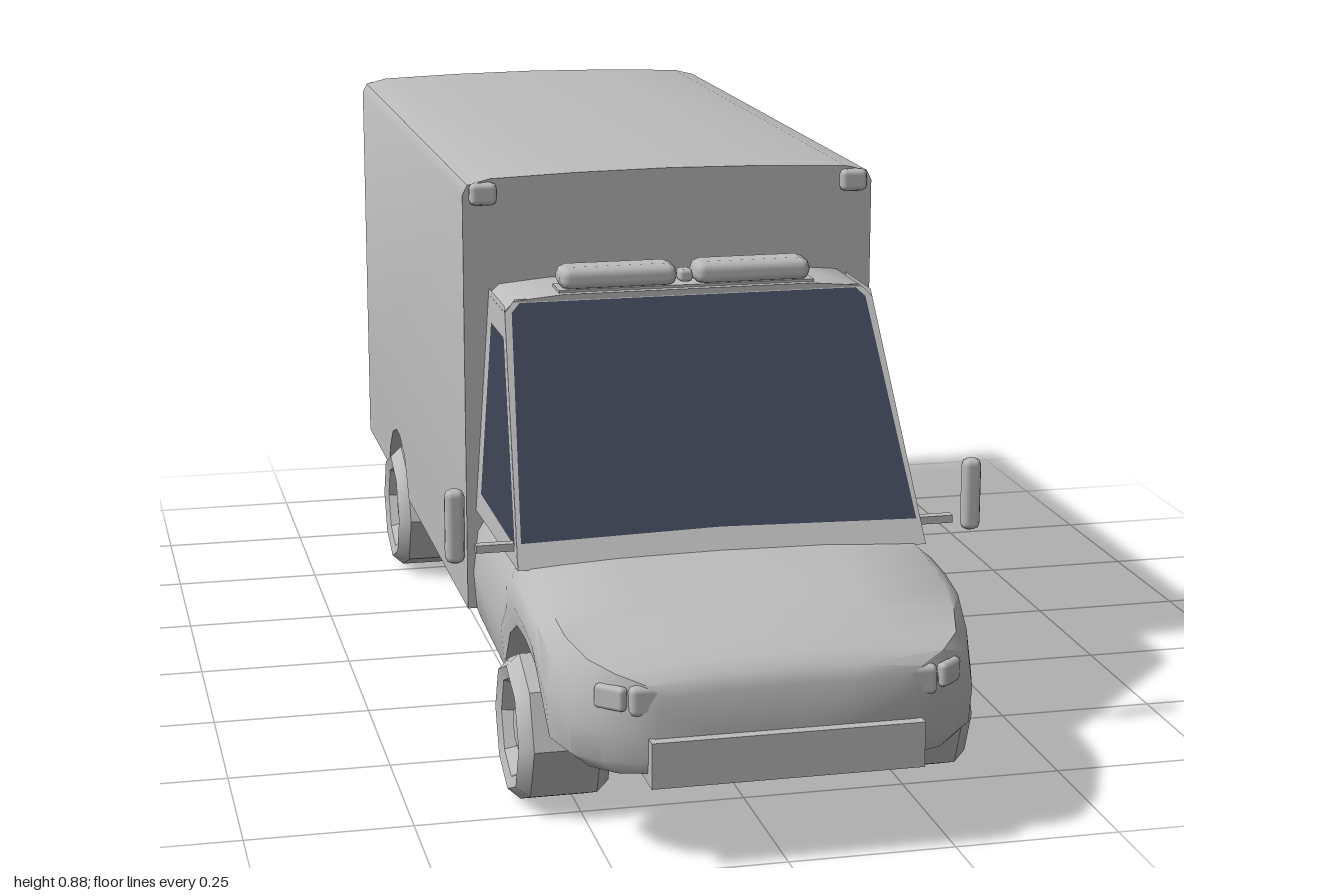
import * as THREE from 'three';
import { toCreasedNormals } from 'three/addons/utils/BufferGeometryUtils.js';
import { RoundedBoxGeometry } from 'three/addons/geometries/RoundedBoxGeometry.js';

export function createModel() {
  const root = new THREE.Group();
  root.name = 'boxVan';
  const paint = new THREE.MeshStandardMaterial({ color: 0xbcbcbc, side: THREE.DoubleSide });
  paint.name = 'grey body';
  const glass = new THREE.MeshStandardMaterial({ color: 0x3d4454, side: THREE.DoubleSide });
  glass.name = 'dark glass';

  const add = (name, geo, mat = paint, x = 0, y = 0, z = 0) => {
    const m = new THREE.Mesh(geo, mat);
    m.name = name;
    m.position.set(x, y, z);
    root.add(m);
    return m;
  };
  const vecs = pts => pts.map(([a, b]) => new THREE.Vector2(a, b));
  const shapeOf = (pts, hole) => {
    const s = new THREE.Shape(vecs(pts));
    if (hole) s.holes.push(new THREE.Path(vecs(hole)));
    return s;
  };
  const extrude = (pts, depth) => new THREE.ExtrudeGeometry(shapeOf(pts), { depth, bevelEnabled: false });
  // moves every vertex of a flat sheet by a rule
  const warp = (geo, rule) => {
    const p = geo.attributes.position;
    for (let i = 0; i < p.count; i++) p.setXYZ(i, ...rule(p.getX(i), p.getY(i)));
    geo.computeVertexNormals();
    return geo;
  };
  const block = (name, w, h, d, x, y, z, r = 0) =>
    add(name, r ? new RoundedBoxGeometry(w, h, d, 1, r) : new THREE.BoxGeometry(w, h, d), paint, x, y, z);

  // Cargo box: cambered upper section, lower section with wheel arches
  const upper = extrude([[-0.335, 0.29], [0.335, 0.29], [0.335, 0.85], [0.327, 0.866], [0.29, 0.875],
    [0.15, 0.88], [0, 0.882], [-0.15, 0.88], [-0.29, 0.875], [-0.327, 0.866], [-0.335, 0.85]], 1.18);
  add('cargoBoxUpper', toCreasedNormals(upper, 0.7), paint, 0, 0, -0.92);
  const lower = extrude([[-0.92, 0.17], [-0.65, 0.17], [-0.625, 0.215], [-0.59, 0.25], [-0.54, 0.267], [-0.5, 0.265],
    [-0.44, 0.24], [-0.395, 0.17], [0.26, 0.17], [0.26, 0.29], [-0.92, 0.29]], 0.67);
  lower.rotateY(-Math.PI / 2);
  add('cargoBoxLower', toCreasedNormals(lower, 0.7), paint, 0.335);

  // Cab lower body: cross-sections lofted from back to nose [z, half width, bottom, top]
  const stations = [[0.15, 0.325, 0.165, 0.35], [0.29, 0.325, 0.14, 0.352], [0.54, 0.33, 0.14, 0.357],
    [0.59, 0.33, 0.22, 0.357], [0.647, 0.33, 0.255, 0.353], [0.716, 0.33, 0.257, 0.345],
    [0.78, 0.328, 0.24, 0.336], [0.845, 0.32, 0.14, 0.325], [0.91, 0.3, 0.138, 0.311],
    [0.95, 0.265, 0.14, 0.299], [0.975, 0.22, 0.145, 0.285], [0.983, 0.19, 0.155, 0.265]];
  const half = [[0, 0], [0.9, 0], [0.985, 0.12], [1, 0.42], [0.975, 0.75], [0.91, 0.93], [0.5, 0.985], [0, 1]];
  const ring = half.concat(half.slice(1, -1).reverse().map(([x, f]) => [-x, f]));
  const n = ring.length, pos = [], idx = [];
  for (const [z, w, b, t] of stations) for (const [x, f] of ring) pos.push(x * w, b + f * (t - b), z);
  for (let i = 0; i < stations.length - 1; i++) for (let j = 0; j < n; j++) {
    const a = i * n + j, b = i * n + (j + 1) % n;
    idx.push(a, b, b + n, a, b + n, a + n);
  }
  const last = (stations.length - 1) * n;
  for (let j = 1; j < n - 1; j++) idx.push(last, last + j, last + j + 1, 0, j + 1, j);
  const body = new THREE.BufferGeometry();
  body.setAttribute('position', new THREE.Float32BufferAttribute(pos, 3));
  body.setIndex(idx);
  add('cabLowerBody', toCreasedNormals(body, 0.75));

  // Cab roof
  add('cabRoof', toCreasedNormals(extrude([[-0.295, 0.69], [0.295, 0.69], [0.278, 0.706], [0.2, 0.713],
    [-0.2, 0.713], [-0.278, 0.706]], 0.14), 0.7), paint, 0, 0, 0.255);

  // Windscreen and its frame on one sloping plane
  const slope = (x, y) => [x, y, 0.612 - (y - 0.37) * 0.65];
  const screen = [[-0.31, 0.38], [0, 0.386], [0.31, 0.38], [0.284, 0.69], [0.27, 0.703], [-0.27, 0.703], [-0.284, 0.69]];
  const frame = [[-0.319, 0.345], [0.319, 0.345], [0.295, 0.69], [0.277, 0.708], [-0.277, 0.708], [-0.295, 0.69]];
  add('windscreen', warp(new THREE.ShapeGeometry(shapeOf(screen)), slope), glass);
  add('windscreenFrame', warp(new THREE.ShapeGeometry(shapeOf(frame, screen)), slope));

  // Cab sides: open window on the left, glazed on the right
  const side = [[0.25, 0.335], [0.627, 0.345], [0.398, 0.7], [0.25, 0.7]];
  const windowEdge = [[0.592, 0.372], [0.407, 0.652], [0.295, 0.652], [0.295, 0.372]];
  for (const s of [1, -1]) {
    const lean = (z, y) => [s * (0.318 - (y - 0.36) * 0.07), y, z];
    add('cabSide', warp(new THREE.ShapeGeometry(shapeOf(side, windowEdge)), lean));
    if (s < 0) add('sideWindow', warp(new THREE.ShapeGeometry(shapeOf(windowEdge)), lean), glass);
  }

  // Wheels: eight-sided tyre with dished hub
  const tyre = vecs([[0, -0.03], [0.065, -0.03], [0.075, -0.068], [0.097, -0.07], [0.115, -0.05], [0.115, 0.05],
    [0.097, 0.07], [0.078, 0.064], [0.07, 0.045], [0.036, 0.04], [0.03, 0.055], [0, 0.055]]);
  const wheelGeo = toCreasedNormals(new THREE.LatheGeometry(tyre, 8), 0.6);
  for (const s of [1, -1]) for (const [name, z] of [['frontWheel', 0.68], ['rearWheel', -0.535]]) {
    add(name, wheelGeo, paint, s * 0.278, 0.119, z).rotation.z = -s * Math.PI / 2;
  }

  // Mirrored fittings
  for (const s of [1, -1]) {
    block('mirror', 0.03, 0.115, 0.028, s * 0.406, 0.407, 0.58, 0.011);
    block('mirrorArm', 0.06, 0.012, 0.016, s * 0.345, 0.37, 0.58);
    block('roofLightBar', 0.187, 0.036, 0.064, s * 0.108, 0.732, 0.352, 0.015);
    block('headlight', 0.06, 0.046, 0.05, s * 0.196, 0.252, 0.954, 0.01);
    const fin = block('indicator', 0.05, 0.036, 0.018, s * 0.248, 0.255, 0.952, 0.007);
    fin.rotation.y = s * 0.75;
    block('frontMarkerLamp', 0.044, 0.036, 0.024, s * 0.303, 0.852, 0.265, 0.009);
    block('rearMarkerLamp', 0.036, 0.032, 0.024, s * 0.308, 0.852, -0.925, 0.009);
    block('tailLight', 0.03, 0.12, 0.024, s * 0.312, 0.325, -0.924, 0.008);
  }
  block('roofLightBase', 0.41, 0.01, 0.055, 0, 0.712, 0.355);
  block('roofLightCentre', 0.022, 0.02, 0.03, 0, 0.729, 0.36, 0.006);

  // Bumpers
  block('frontBumper', 0.4, 0.068, 0.1, 0, 0.165, 0.95);
  block('rearStep', 0.436, 0.016, 0.08, -0.003, 0.14, -0.96);
  block('rearPlate', 0.13, 0.035, 0.01, 0, 0.165, -0.922);
  return root;
}
